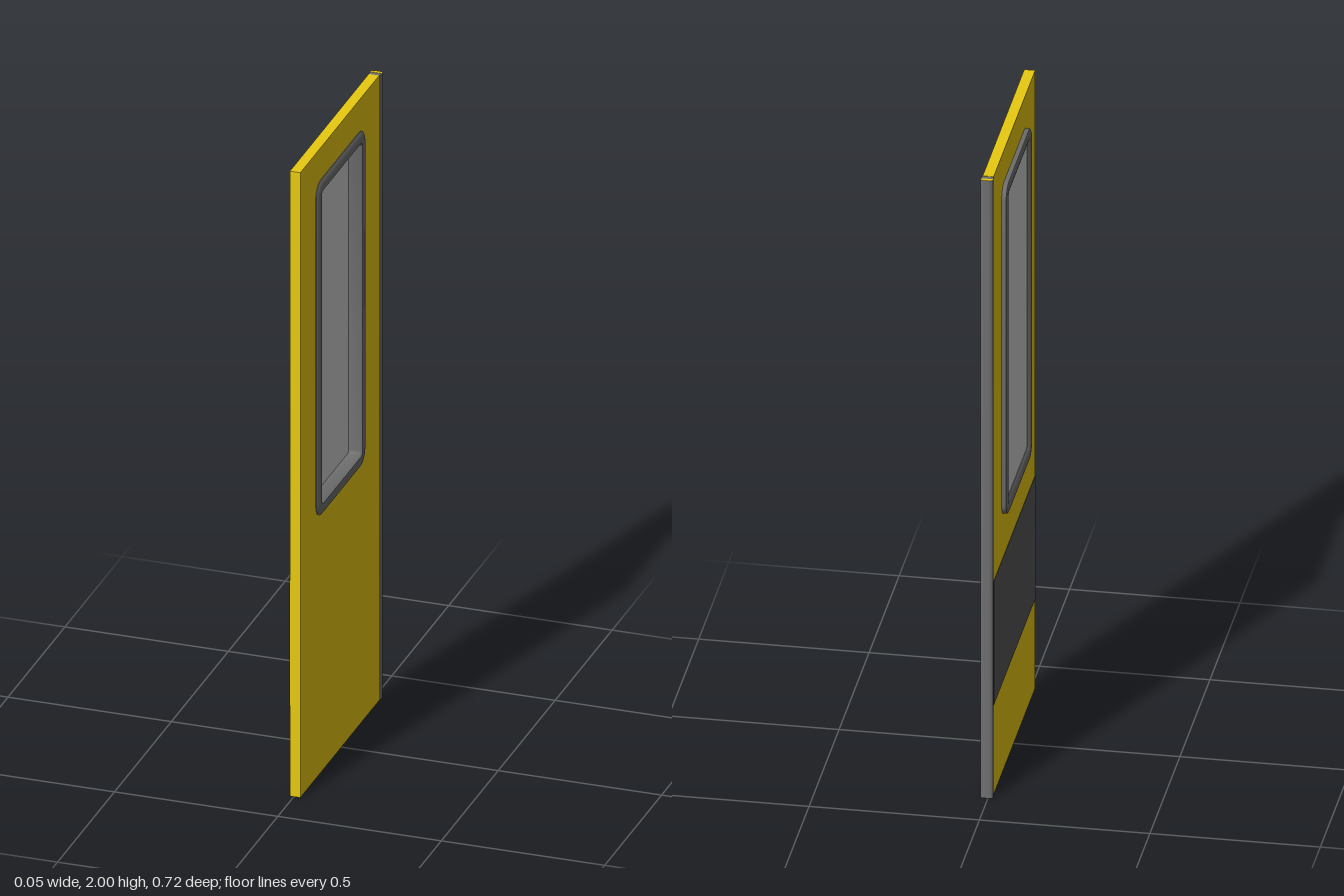
import * as THREE from 'three';
import { toCreasedNormals } from 'three/addons/utils/BufferGeometryUtils.js';

const mat = (color) => new THREE.MeshStandardMaterial({ color });
const yellow = mat(0xe8ca10), rubber = mat(0x707070), dark = mat(0x555555), grey = mat(0xcccccc);

// Window opening, in the (z, y) plane of the door
const WIN = { z: 0.0125, y: 1.3625, hz: 0.175, hy: 0.4975, r: 0.012 };

// Rounded rectangle around the opening, grown outward by d, counter-clockwise in (z, y)
function windowOutline(d, steps = 5) {
  const r = WIN.r + d * 0.85, pts = [];
  const cz = WIN.hz + d - r, cy = WIN.hy + d - r;
  [[1, 1], [-1, 1], [-1, -1], [1, -1]].forEach(([sz, sy], q) => {
    for (let i = 0; i <= steps; i++) {
      const a = (q + i / steps) * Math.PI / 2;
      pts.push(new THREE.Vector2(WIN.z + sz * cz + r * Math.cos(a), WIN.y + sy * cy + r * Math.sin(a)));
    }
  });
  return pts;
}

// Sweep a closed (offset, x) profile around the window
function frameGeometry(profile) {
  const rings = profile.map(([d, x]) => windowOutline(d).map((p) => [x, p.y, p.x]));
  const n = rings[0].length, pos = [];
  rings.forEach((ring, i) => {
    const next = rings[(i + 1) % rings.length];
    for (let j = 0; j < n; j++) {
      const k = (j + 1) % n;
      pos.push(...ring[j], ...ring[k], ...next[j], ...ring[k], ...next[k], ...next[j]);
    }
  });
  const geo = new THREE.BufferGeometry();
  geo.setAttribute('position', new THREE.Float32BufferAttribute(pos, 3));
  return toCreasedNormals(geo, 0.7);
}

// Extrude a (z, y) shape through the door thickness, from x1 towards -x
function plate(shape, x1, depth) {
  return new THREE.ExtrudeGeometry(shape, { depth, bevelEnabled: false })
    .rotateY(-Math.PI / 2).translate(x1, 0, 0);
}

// Vertical bar with an (x, -z) cross-section
function upright(shape, y0, y1) {
  return new THREE.ExtrudeGeometry(shape, { depth: y1 - y0, bevelEnabled: false, curveSegments: 6 })
    .rotateX(-Math.PI / 2).translate(0, y0, 0);
}

export function createModel() {
  const group = new THREE.Group();
  const add = (name, geo, material) => {
    const mesh = new THREE.Mesh(geo, material);
    mesh.name = name;
    group.add(mesh);
  };

  // Door leaf with the window cut out
  const leaf = new THREE.Shape();
  leaf.moveTo(-0.332, 0).lineTo(0.36, 0).lineTo(0.36, 2).lineTo(-0.332, 2).closePath();
  leaf.holes.push(new THREE.Path(windowOutline(0.01)));
  add('doorPanel', plate(leaf, 0.02, 0.032), yellow);

  // Dark band across one face
  add('darkBand', new THREE.BoxGeometry(0.002, 0.4, 0.692).translate(-0.012, 0.49, 0.014), dark);

  // Window surround: flat lip on one side, rounded lip on the other
  add('windowFrame', frameGeometry([
    [0, -0.02], [0, 0.022], [0.004, 0.027], [0.02, 0.0265], [0.034, 0.025], [0.038, 0.022],
    [0.038, -0.02], [0.036, -0.025], [0.03, -0.028], [0.014, -0.028], [0.006, -0.026],
  ]), rubber);

  // Window pane, set deep in the frame
  add('windowPane', plate(new THREE.Shape(windowOutline(0.003)), -0.014, 0.004), grey);

  // Rounded rubber seal along the closing edge
  const seal = new THREE.Shape();
  seal.moveTo(-0.012, 0.332).lineTo(0.02, 0.332).lineTo(0.0235, 0.348);
  seal.quadraticCurveTo(0.0235, 0.36, 0.012, 0.36).lineTo(-0.003, 0.36);
  seal.quadraticCurveTo(-0.0145, 0.36, -0.0145, 0.348).closePath();
  add('edgeSeal', toCreasedNormals(upright(seal, 0, 1.999), 0.6), rubber);

  // Painted tip on top of the seal
  const tip = new THREE.Shape();
  tip.moveTo(-0.0145, 0.348).lineTo(0.0235, 0.348);
  tip.quadraticCurveTo(0.0235, 0.36, 0.012, 0.36).lineTo(-0.003, 0.36);
  tip.quadraticCurveTo(-0.0145, 0.36, -0.0145, 0.348);
  add('sealTip', upright(tip, 1.999, 2), yellow);

  return group;
}
